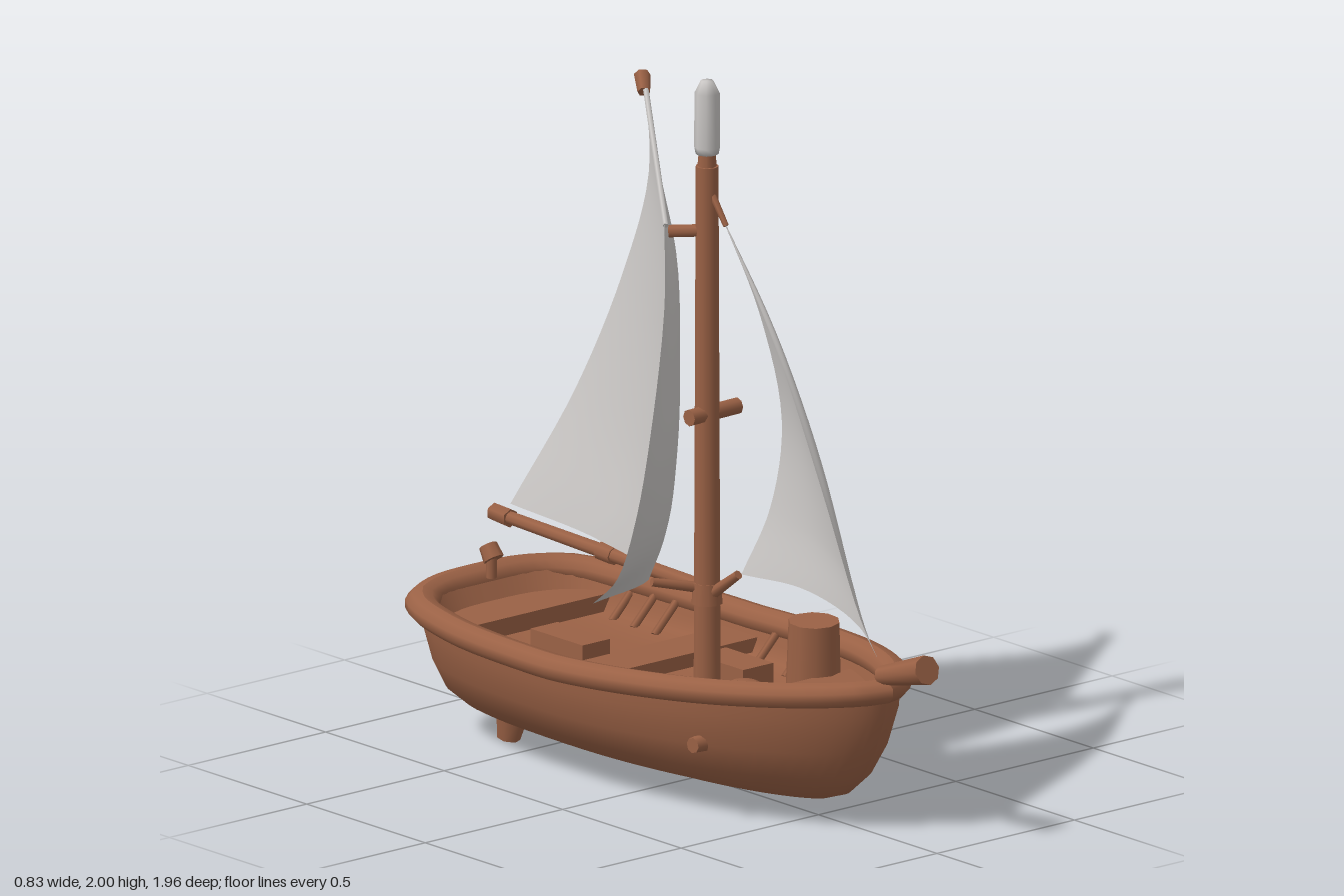
import * as THREE from 'three';

const wood = new THREE.MeshStandardMaterial({ color: 0x9a6145 });
wood.name = 'brown wood';
const cloth = new THREE.MeshStandardMaterial({ color: 0xc9c6c4, side: THREE.DoubleSide });
cloth.name = 'pale canvas';

const V = (x, y, z) => new THREE.Vector3(x, y, z);
const curve = (...pts) => new THREE.CatmullRomCurve3(pts.map((p) => V(...p)));

// Rail centre line seen from above, bow first, mirrored to a closed loop
const half = [[0, 0.77], [0.07, 0.735], [0.175, 0.61], [0.275, 0.4], [0.337, 0.15], [0.366, -0.1],
  [0.365, -0.4], [0.343, -0.65], [0.285, -0.84], [0.17, -0.915], [0, -0.932]];
const loop = [...half, ...half.slice(1, -1).reverse().map(([x, z]) => [-x, z])];
const outline = new THREE.CatmullRomCurve3(loop.map(([x, z]) => V(x, 0, z)), true);

// Rise of the rail towards bow and stern
const sheer = (z) => 0.075 * Math.max(0, z + 0.2) ** 1.2 + 0.08 * Math.max(0, -z - 0.4) ** 2;

function add(group, name, geometry, material = wood) {
  const mesh = new THREE.Mesh(geometry, material);
  mesh.name = name;
  group.add(mesh);
  return mesh;
}

// Grid surface from a point function of u and v
function surface(nu, nv, point) {
  const pos = [], index = [];
  for (let j = 0; j <= nv; j++) {
    for (let i = 0; i <= nu; i++) pos.push(...point(i / nu, j / nv, j).toArray());
  }
  for (let j = 0; j < nv; j++) {
    for (let i = 0; i < nu; i++) {
      const a = j * (nu + 1) + i, c = a + nu + 1;
      index.push(a, c, a + 1, a + 1, c, c + 1);
    }
  }
  const g = new THREE.BufferGeometry();
  g.setAttribute('position', new THREE.Float32BufferAttribute(pos, 3));
  g.setIndex(index);
  g.computeVertexNormals();
  return g;
}

// Rings of [height, width scale, bow z, stern z, share of sheer]
function shell(rings) {
  return surface(72, rings.length - 1, (u, v, j) => {
    const [y, sx, zb, zs, w] = rings[j];
    const p = outline.getPoint(u);
    const t = (p.z + 0.932) / 1.702;
    return V(p.x * sx, y + sheer(p.z) * w, zs + (zb - zs) * t);
  });
}

// Tapered round bar between two points
function rod(group, name, a, b, r0, r1 = r0, sides = 8, material = wood) {
  const p = V(...a), q = V(...b), d = q.clone().sub(p);
  const mesh = add(group, name, new THREE.CylinderGeometry(r1, r0, d.length(), sides), material);
  mesh.position.copy(p).lerp(q, 0.5);
  mesh.quaternion.setFromUnitVectors(V(0, 1, 0), d.normalize());
}

// Flat planking that follows the hull between two z positions
function planking(group, name, z0, z1, y, h) {
  const pts = outline.getPoints(120).slice(0, -1).filter((p) => p.z >= z0 && p.z <= z1);
  const shape = new THREE.Shape(pts.map((p) => new THREE.Vector2(p.x * 0.92, -p.z * 0.94)));
  const g = new THREE.ExtrudeGeometry(shape, { depth: h, bevelEnabled: false });
  g.rotateX(-Math.PI / 2);
  add(group, name, g).position.y = y;
}

function block(group, name, size, at, turn = 0) {
  const mesh = add(group, name, new THREE.BoxGeometry(...size));
  mesh.position.set(...at);
  mesh.rotation.y = turn;
}

// Sail stretched between four edge curves
function sail(group, name, foot, head, luff, leech) {
  const c00 = foot.getPoint(0), c10 = foot.getPoint(1), c01 = head.getPoint(0), c11 = head.getPoint(1);
  add(group, name, surface(20, 24, (u, v) => {
    const p = foot.getPoint(u).multiplyScalar(1 - v).addScaledVector(head.getPoint(u), v);
    p.addScaledVector(luff.getPoint(v), 1 - u).addScaledVector(leech.getPoint(v), u);
    return p.addScaledVector(c00, -(1 - u) * (1 - v)).addScaledVector(c10, -u * (1 - v))
      .addScaledVector(c01, -(1 - u) * v).addScaledVector(c11, -u * v);
  }), cloth);
}

export function createModel() {
  const boat = new THREE.Group();
  boat.name = 'sailing boat';

  // Hull, inner wall with floor, and rail
  add(boat, 'hull', shell([
    [0.345, 1.04, 0.79, -0.935, 1], [0.28, 1.035, 0.78, -0.915, 0.8], [0.2, 0.99, 0.74, -0.89, 0.4],
    [0.13, 0.89, 0.685, -0.865, 0.15], [0.08, 0.71, 0.615, -0.83, 0], [0.05, 0.48, 0.53, -0.79, 0],
    [0.034, 0.24, 0.43, -0.76, 0], [0.028, 0, 0.3, -0.72, 0]]));
  add(boat, 'innerHull', shell([
    [0.245, 0, 0, 0, 0], [0.248, 0.5, 0.38, -0.5, 0], [0.255, 0.84, 0.66, -0.83, 0.2],
    [0.29, 0.89, 0.7, -0.86, 0.7], [0.345, 0.93, 0.74, -0.9, 1]]));
  // The rail is a little broader across the stern
  const railGeo = new THREE.TubeGeometry(outline, 96, 0.047, 10, true);
  const rp = railGeo.attributes.position;
  for (let i = 0; i < rp.count; i++) {
    const z = rp.getZ(i);
    rp.setY(i, 0.337 + rp.getY(i) * 0.78 + sheer(z));
    if (z < -0.85) rp.setZ(i, -0.932 + (z + 0.932) * (z > -0.932 ? 0.9 : 1.05));
  }
  railGeo.computeVertexNormals();
  add(boat, 'rail', railGeo);

  // Decks, bench and cargo
  planking(boat, 'bowDeck', 0.32, 1, 0.27, 0.06);
  planking(boat, 'bench', -0.33, -0.13, 0.26, 0.04);
  planking(boat, 'sternSeat', -1, -0.72, 0.26, 0.05);
  block(boat, 'crate', [0.11, 0.1, 0.2], [0.1, 0.27, 0.03]);
  block(boat, 'sternChest', [0.1, 0.08, 0.22], [-0.05, 0.265, -0.49]);
  block(boat, 'sideChest', [0.16, 0.07, 0.12], [-0.2, 0.265, 0.02], 0.2);
  rod(boat, 'barrel', [0.17, 0.22, 0.28], [0.165, 0.475, 0.29], 0.08, 0.072, 10);
  for (const [x, z, r] of [[-0.03, 0.22, 0.09], [-0.18, 0.2, 0.07]]) {
    const sack = add(boat, 'sack', new THREE.SphereGeometry(r, 12, 8));
    sack.position.set(x, 0.26, z);
    sack.scale.y = 0.75;
  }

  // Ribs, hull pegs and feet on both sides
  for (const s of [-1, 1]) {
    for (const z of [-0.65, -0.56, -0.47, -0.05, 0.08]) {
      rod(boat, 'rib', [s * 0.24, 0.25, z], [s * 0.32, 0.33, z], 0.012, 0.012, 5);
    }
    rod(boat, 'hullPeg', [s * 0.24, 0.22, 0.33], [s * 0.32, 0.22, 0.34], 0.03, 0.022);
    rod(boat, 'foot', [s * 0.165, 0.07, -0.6], [s * 0.17, 0, -0.61], 0.045, 0.032, 6);
  }

  // Bowsprit and stern post
  rod(boat, 'bowsprit', [0, 0.455, 0.77], [-0.01, 0.517, 0.97], 0.028, 0.042);
  rod(boat, 'sternPost', [0, 0.37, -0.88], [0, 0.43, -0.88], 0.015);
  rod(boat, 'sternKnob', [0, 0.425, -0.87], [0, 0.46, -0.895], 0.03, 0.026);

  // Mast, its cap and cross pegs
  rod(boat, 'mast', [0, 0.2, 0.03], [0, 1.755, 0.03], 0.038, 0.032, 12);
  rod(boat, 'mastTop', [0, 1.74, 0.03], [0, 1.81, 0.03], 0.028, 0.022);
  const cap = [[0, 1.79], [0.032, 1.79], [0.036, 1.81], [0.035, 1.965], [0.018, 2], [0, 2]];
  add(boat, 'mastCap', new THREE.LatheGeometry(cap.map((p) => new THREE.Vector2(...p)), 8), cloth).position.z = 0.03;
  rod(boat, 'mastCollar', [0, 0.5, 0.03], [0, 0.56, 0.03], 0.044, 0.04, 10);
  rod(boat, 'crossPeg', [-0.07, 1.045, 0.035], [0.11, 1.045, 0.03], 0.024);
  rod(boat, 'upperPeg', [0, 1.57, 0.03], [-0.075, 1.565, -0.045], 0.018);
  rod(boat, 'stay', [0, 1.68, 0.05], [0, 1.6, 0.11], 0.01, 0.008, 6);

  // Boom, yard and small spars
  rod(boat, 'boom', [0, 0.54, 0.02], [0, 0.56, -0.82], 0.023, 0.019);
  rod(boat, 'boomEnd', [0, 0.558, -0.8], [0, 0.562, -0.87], 0.027, 0.026, 6);
  rod(boat, 'boomBand', [0, 0.547, -0.36], [0, 0.55, -0.42], 0.026);
  rod(boat, 'tackSpar', [0, 0.54, 0.02], [-0.15, 0.575, -0.03], 0.016, 0.012);
  rod(boat, 'clewSpar', [0, 0.53, 0.05], [0.01, 0.605, 0.15], 0.018, 0.013);
  rod(boat, 'yard', [-0.09, 1.585, -0.04], [0.172, 1.85, -0.43], 0.008, 0.008, 6, cloth);
  rod(boat, 'yardEnd', [0.162, 1.835, -0.425], [0.193, 1.87, -0.468], 0.018, 0.023, 6);

  // Main sail, swung out to one side
  sail(boat, 'mainSail',
    curve([-0.39, 0.565, 0.0], [-0.12, 0.575, -0.07], [-0.03, 0.593, -0.4], [0, 0.6, -0.8]),
    curve([-0.095, 1.59, -0.04], [0.04, 1.725, -0.24], [0.18, 1.86, -0.44]),
    curve([-0.39, 0.565, 0.0], [-0.375, 0.65, 0.085], [-0.345, 0.82, 0.128], [-0.29, 1.07, 0.13],
      [-0.19, 1.39, 0.07], [-0.095, 1.59, -0.04]),
    curve([0, 0.6, -0.8], [0.1, 0.95, -0.64], [0.16, 1.3, -0.51], [0.18, 1.6, -0.425], [0.18, 1.86, -0.44]));

  // Fore sail running from the bowsprit to the mast
  sail(boat, 'foreSail',
    curve([-0.06, 0.525, 0.82], [-0.045, 0.59, 0.73], [0.02, 0.62, 0.42], [0.03, 0.6, 0.14]),
    curve([0, 1.64, 0.08], [0, 1.64, 0.08]),
    curve([-0.06, 0.525, 0.82], [-0.065, 0.63, 0.75], [-0.055, 0.95, 0.58], [-0.03, 1.3, 0.36], [0, 1.64, 0.08]),
    curve([0.03, 0.6, 0.14], [0.075, 0.8, 0.21], [0.095, 1.05, 0.235], [0.055, 1.35, 0.19], [0, 1.64, 0.08]));
  return boat;
}
